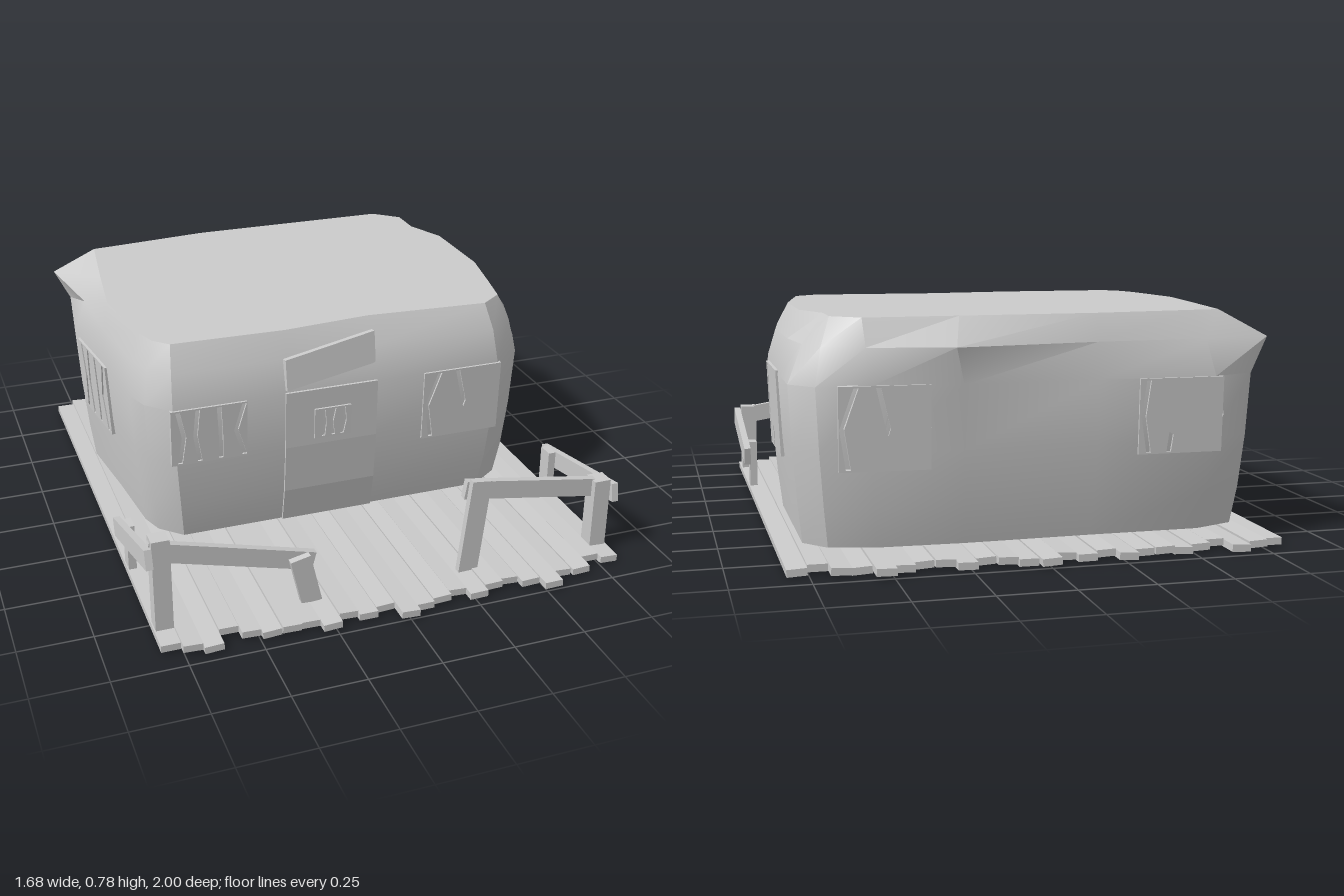
import * as THREE from 'three';
import { toCreasedNormals } from 'three/addons/utils/BufferGeometryUtils.js';

const mat = new THREE.MeshStandardMaterial({ color: 0xcccccc });

function add(parent, geo, name, x = 0, y = 0, z = 0) {
  const m = new THREE.Mesh(geo, mat);
  m.name = name;
  m.position.set(x, y, z);
  parent.add(m);
  return m;
}

// Plank between two points: h is its width in the upright plane, t its thickness
function beam(parent, name, a, b, h, t) {
  const A = new THREE.Vector3(...a), B = new THREE.Vector3(...b);
  const m = add(parent, new THREE.BoxGeometry(t, h, A.distanceTo(B)), name);
  m.position.copy(A).lerp(B, 0.5);
  m.lookAt(B);
  return m;
}

const polygon = (pts) => new THREE.Shape(pts.map((p) => new THREE.Vector2(...p)));

// Outlines of the house seen from above, as [x, z], at eye level and at the roof
const MID = [[-0.62, 0.37], [-0.2, 0.37], [0.12, 0.37], [0.59, 0.37], [0.7, 0.29], [0.76, 0.15],
  [0.785, -0.1], [0.785, -0.5], [0.785, -0.72], [0.71, -0.81], [0.55, -0.85], [0.25, -0.86],
  [-0.2, -0.85], [-0.6, -0.85], [-0.75, -0.79], [-0.8, -0.42], [-0.76, -0.1], [-0.73, 0.2], [-0.7, 0.29]];
const ROOF = [[-0.6, 0.29], [-0.2, 0.3], [0.12, 0.27], [0.56, 0.3], [0.64, 0.24], [0.67, 0.1],
  [0.71, -0.1], [0.71, -0.43], [0.65, -0.58], [0.65, -0.71], [0.56, -0.79], [0.25, -0.79],
  [-0.2, -0.79], [-0.55, -0.75], [-0.65, -0.74], [-0.69, -0.42], [-0.72, -0.15], [-0.68, 0.15], [-0.65, 0.24]];
const CZ = -0.24;

function houseGeometry() {
  const scaled = (kx, kz) => MID.map(([x, z]) => [x * kx, CZ + (z - CZ) * kz]);
  const eaves = MID.map(([x, z], i) => [x + (ROOF[i][0] - x) * 0.4, z + (ROOF[i][1] - z) * 0.4]);
  // lumps that bulge out under the roof edge
  eaves[14] = [-0.81, -0.78];
  eaves[11] = [0.28, -0.89];
  const levels = [[0.05, scaled(0.945, 0.91)], [0.18, scaled(0.965, 0.955)], [0.36, scaled(0.985, 0.985)],
    [0.57, MID], [0.69, eaves], [0.78, ROOF]];
  const n = MID.length, pos = [], idx = [];
  for (const [y, ring] of levels) for (const [x, z] of ring) pos.push(x, y, z);
  const bottom = pos.length / 3, top = bottom + 1, last = (levels.length - 1) * n;
  pos.push(0, 0.05, CZ, 0, 0.78, CZ);
  for (let i = 0; i < n; i++) {
    const j = (i + 1) % n;
    for (let l = 0; l < levels.length - 1; l++) {
      const a = l * n + i, b = l * n + j;
      idx.push(a, b, b + n, a, b + n, a + n);
    }
    idx.push(bottom, j, i, top, last + i, last + j);
  }
  const g = new THREE.BufferGeometry();
  g.setAttribute('position', new THREE.Float32BufferAttribute(pos, 3));
  g.setIndex(idx);
  return toCreasedNormals(g, 0.5);
}

// Boarded window: a panel with crooked slits, each slit given as x at top, middle and bottom
function windowPanel(parent, name, w, h, slits, [x, y, z], yaw, gap = 0.008) {
  const s = polygon([[-w / 2, -h / 2], [w / 2, -h / 2], [w / 2, h / 2], [-w / 2, h / 2]]);
  const e = h / 2 - 0.006;
  for (const [t, m, b] of slits) {
    s.holes.push(polygon([[t - gap, e], [m - gap, 0], [b - gap, -e], [b + gap, -e], [m + gap, 0], [t + gap, e]]));
  }
  const g = new THREE.ExtrudeGeometry(s, { depth: 0.02, bevelEnabled: false });
  g.translate(0, 0, -0.013);
  const p = add(parent, g, name, x, y, z);
  p.rotation.order = 'YXZ';
  p.rotation.set(0.045, yaw, 0);
}

export function createModel() {
  const model = new THREE.Group();
  model.name = 'cabin';

  // Deck of uneven planks
  const deck = new THREE.Group();
  deck.name = 'deck';
  model.add(deck);
  const half = [0.915, 0.945, 0.96, 0.89, 0.93, 0.945, 0.95, 0.94, 0.975, 0.94, 0.955, 0.935, 1,
    0.965, 0.955, 0.93, 0.965, 0.94, 0.92, 0.955, 1, 0.935, 0.95, 0.89, 0.91];
  const pitch = 1.64 / half.length;
  half.forEach((l, i) => {
    const p = add(deck, new THREE.BoxGeometry(pitch - 0.001, 0.024, l * 2), 'deckPlank',
      -0.82 + pitch * (i + 0.5), 0.02 + 0.004 * Math.sin(i * 2.3), 0);
    p.rotation.z = 0.06 * Math.sin(i * 4.1);
  });

  // House body
  const house = new THREE.Group();
  house.name = 'house';
  model.add(house);
  add(house, houseGeometry(), 'walls');

  // Door following the curve of the front wall
  const doorGeo = new THREE.ExtrudeGeometry(polygon([[0.29, 0.05], [0.325, 0.05], [0.352, 0.18],
    [0.37, 0.36], [0.378, 0.575], [0.29, 0.575]]), { depth: 0.34, bevelEnabled: false });
  doorGeo.rotateY(-Math.PI / 2);
  add(house, doorGeo, 'door', 0.12);
  windowPanel(house, 'doorWindow', 0.135, 0.115, [[-0.035, -0.03, -0.035], [0.005, -0.005, 0.002], [0.04, 0.045, 0.035]],
    [-0.048, 0.443, 0.373], 0, 0.006);

  // Crooked board over the door
  const awning = add(house, new THREE.ExtrudeGeometry(polygon([[-0.17, -0.08], [0.17, -0.03], [0.17, 0.085], [-0.17, 0.03]]),
    { depth: 0.025, bevelEnabled: false }), 'doorCanopy', -0.05, 0.66, 0.333);
  awning.rotation.set(-0.15, 0.08, 0);

  // Windows
  const slitsA = [[-0.11, -0.09, -0.105], [-0.04, -0.05, -0.035], [0.035, 0.04, 0.04], [0.125, 0.095, 0.125]];
  const slitsB = [[-0.09, -0.135, -0.115], [-0.02, 0.01, -0.03], [0.04, 0.01, 0.05], [0.115, 0.138, 0.11]];
  const slitsK = [[-0.115, -0.13, -0.11], [-0.035, -0.025, -0.04], [0.06, -0.01, 0.07], [0.12, 0.14, 0.11]];
  windowPanel(house, 'frontRightWindow', 0.27, 0.21, slitsA, [-0.495, 0.465, 0.366], 0);
  windowPanel(house, 'frontLeftWindow', 0.3, 0.265, slitsB, [0.45, 0.44, 0.364], 0);
  windowPanel(house, 'leftSideWindow', 0.31, 0.29, slitsK, [0.779, 0.435, -0.28], Math.PI / 2);
  windowPanel(house, 'rightSideWindow', 0.31, 0.27, slitsA, [-0.77, 0.435, -0.21], -Math.PI / 2 + 0.125);
  windowPanel(house, 'backLeftWindow', 0.29, 0.27, slitsB, [0.5, 0.44, -0.846], Math.PI - 0.04);
  windowPanel(house, 'backRightWindow', 0.29, 0.25, slitsK, [-0.48, 0.445, -0.845], Math.PI);

  // Porch railing
  const railing = new THREE.Group();
  railing.name = 'railing';
  model.add(railing);
  const post = (x, z, h, d) => add(railing, new THREE.BoxGeometry(d, h, 0.06), 'post', x, 0.025 + h / 2, z);
  post(-0.785, 0.8, 0.335, 0.06);
  post(0.785, 0.8, 0.26, 0.06);
  for (const x of [-0.802, 0.802]) post(x, 0.415, 0.175, 0.028);
  beam(railing, 'leaningPost', [-0.285, 0.025, 0.82], [-0.325, 0.2, 0.82], 0.07, 0.025);
  beam(railing, 'leaningPost', [0.28, 0.025, 0.82], [0.318, 0.37, 0.82], 0.07, 0.025);
  beam(railing, 'frontRail', [-0.825, 0.315, 0.795], [-0.27, 0.168, 0.795], 0.066, 0.025);
  beam(railing, 'frontRail', [0.27, 0.332, 0.795], [0.81, 0.245, 0.795], 0.066, 0.025);
  beam(railing, 'sideRail', [-0.828, 0.31, 0.845], [-0.828, 0.152, 0.345], 0.066, 0.024);
  beam(railing, 'sideRail', [0.828, 0.24, 0.845], [0.828, 0.15, 0.345], 0.066, 0.024);

  return model;
}
